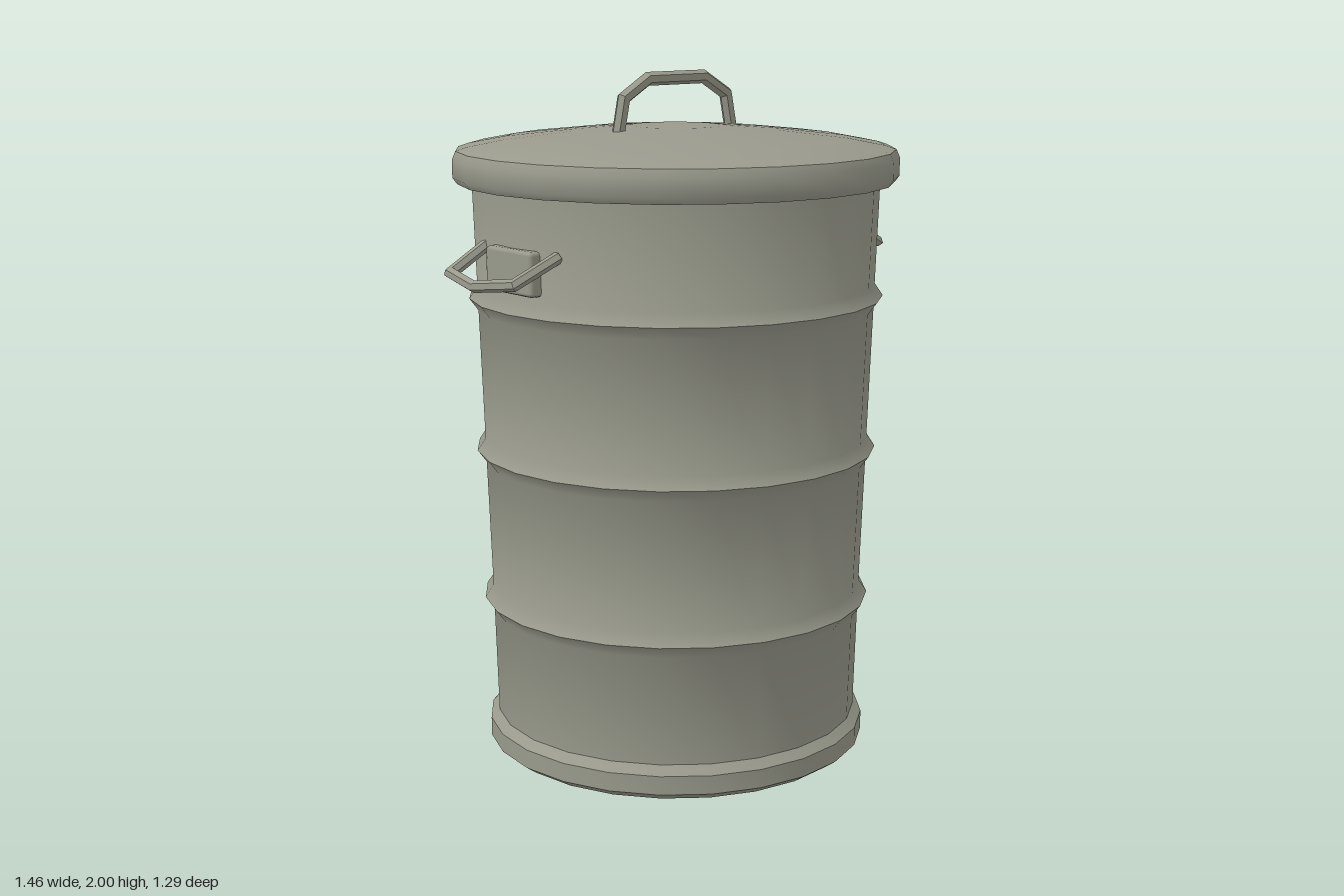
import * as THREE from 'three';
import { toCreasedNormals } from 'three/addons/utils/BufferGeometryUtils.js';
import { RoundedBoxGeometry } from 'three/addons/geometries/RoundedBoxGeometry.js';

const SIDES = 24;

function mesh(name, geometry, material) {
  const m = new THREE.Mesh(geometry, material);
  m.name = name;
  return m;
}

// Turned part with soft curves and sharp ridges
function turned(profile) {
  const points = profile.map(([r, y]) => new THREE.Vector2(r, y));
  return toCreasedNormals(new THREE.LatheGeometry(points, SIDES), 0.7);
}

// Bent bar with mitred corners; normal is perpendicular to the plane of the path
function bentBar(path, normal, radius, sides = 6) {
  const pts = path.map(p => new THREE.Vector3(...p));
  const last = pts.length - 1;
  const pos = [], index = [];
  pts.forEach((p, i) => {
    const before = pts[Math.max(i, 1)].clone().sub(pts[Math.max(i, 1) - 1]).normalize();
    const k = Math.min(i, last - 1);
    const after = pts[k + 1].clone().sub(pts[k]).normalize();
    const t = before.clone().add(after).normalize();
    const m = normal.clone().cross(t).normalize().divideScalar(t.dot(after));
    for (let j = 0; j < sides; j++) {
      const a = (j / sides) * Math.PI * 2;
      const v = p.clone()
        .addScaledVector(m, Math.cos(a) * radius)
        .addScaledVector(normal, Math.sin(a) * radius);
      pos.push(v.x, v.y, v.z);
      if (i < last) {
        const q = i * sides + j, r = i * sides + (j + 1) % sides;
        index.push(q, r, r + sides, q, r + sides, q + sides);
      }
    }
  });
  // end caps
  for (let j = 1; j < sides - 1; j++) {
    const e = last * sides;
    index.push(0, j + 1, j, e, e + j, e + j + 1);
  }
  const g = new THREE.BufferGeometry();
  g.setAttribute('position', new THREE.Float32BufferAttribute(pos, 3));
  g.setIndex(index);
  return toCreasedNormals(g, 0.4);
}

export function createModel() {
  const model = new THREE.Group();
  model.name = 'dustbin';
  const metal = new THREE.MeshStandardMaterial({ color: 0x999a8c });
  metal.name = 'grey metal';

  // Tapered body with a foot band and three pressed ridges
  const wall = y => 0.538 + (y - 0.1) * 0.033;
  const profile = [[0, 0], [0.53, 0], [0.565, 0.025], [0.565, 0.08], [0.54, 0.105]];
  for (const y of [0.46, 0.91, 1.36]) {
    profile.push([wall(y) - 0.001, y - 0.035], [wall(y) + 0.025, y], [wall(y) + 0.001, y + 0.035]);
  }
  profile.push([wall(1.74), 1.74]);
  model.add(mesh('body', turned(profile), metal));

  // Domed lid with a rolled rim
  model.add(mesh('lid', turned([
    [0, 1.74], [0.61, 1.74], [0.61, 1.69], [0.632, 1.69], [0.645, 1.708],
    [0.645, 1.76], [0.635, 1.783], [0.605, 1.793], [0.5, 1.813], [0.3, 1.835], [0.13, 1.848], [0, 1.85],
  ]), metal));

  // Lid handle
  model.add(mesh('lidHandle', bentBar([
    [-0.215, 1.82, 0], [-0.192, 1.932, 0], [-0.105, 1.983, 0],
    [0.105, 1.983, 0], [0.192, 1.932, 0], [0.215, 1.82, 0],
  ], new THREE.Vector3(0, 0, 1), 0.0195), metal));

  // Carrying handles, one on each side
  for (const side of ['left', 'right']) {
    const handle = new THREE.Group();
    handle.name = side + 'Handle';
    const plate = mesh('handlePlate', new RoundedBoxGeometry(0.05, 0.125, 0.21, 1, 0.012), metal);
    plate.position.set(0.58, 1.48, 0);
    const bar = mesh('handleBar', bentBar([
      [0.555, 1.533, 0.167], [0.69, 1.468, 0.147], [0.716, 1.45, 0],
      [0.69, 1.468, -0.147], [0.555, 1.533, -0.167],
    ], new THREE.Vector3(0.45, 0.89, 0).normalize(), 0.017), metal);
    handle.add(plate, bar);
    if (side === 'right') handle.rotation.y = Math.PI;
    model.add(handle);
  }
  return model;
}
